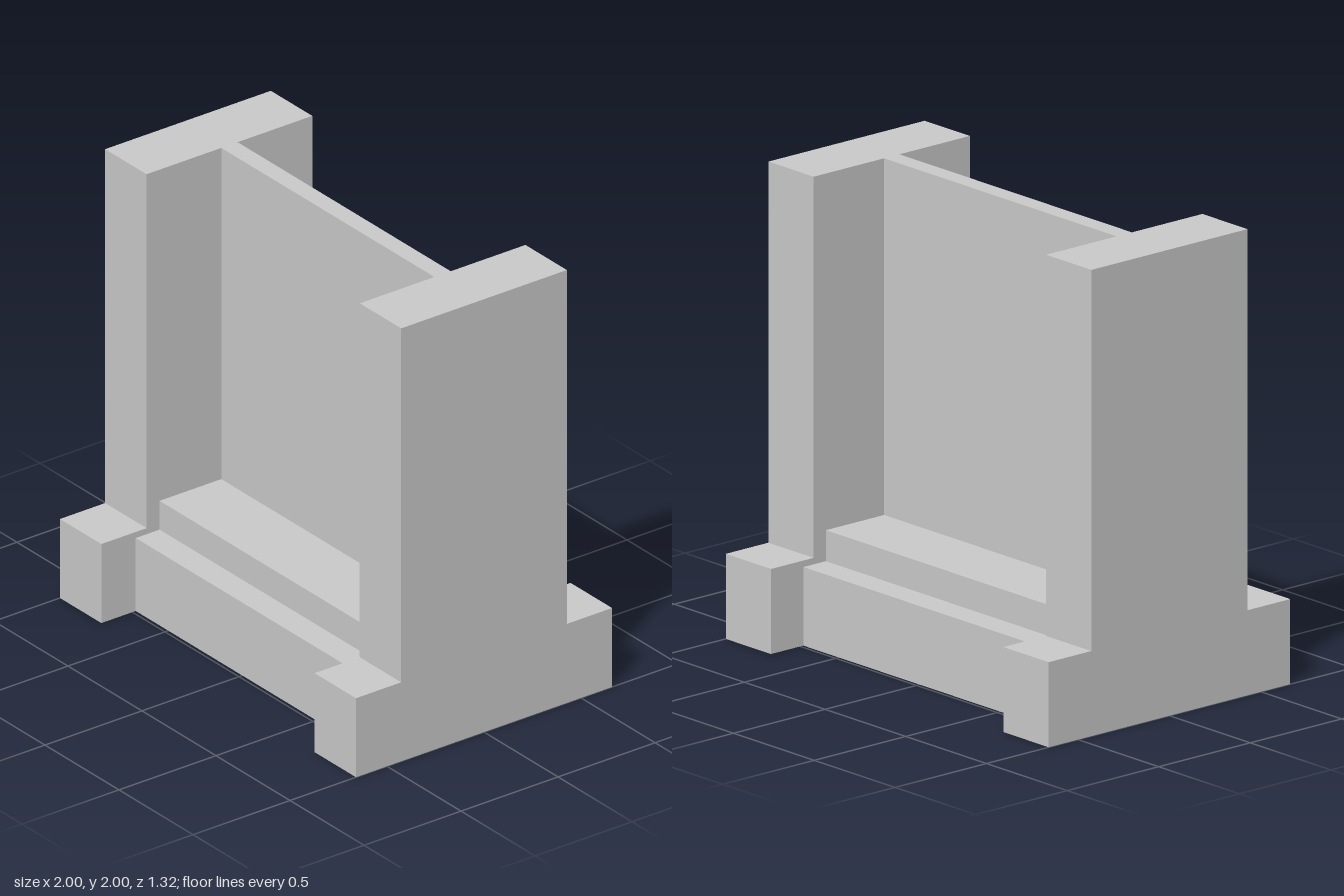
import * as THREE from 'three';

const material = new THREE.MeshStandardMaterial({ color: 0xcccccc, flatShading: true });

// Extrudes a front-to-back symmetric profile, given as [half depth, height] from the bottom up, along x.
function profileMesh(name, steps, x0, x1) {
  const right = steps.map(([z, y]) => new THREE.Vector2(z, y));
  const left = steps.map(([z, y]) => new THREE.Vector2(-z, y)).reverse();
  const geometry = new THREE.ExtrudeGeometry(new THREE.Shape([...right, ...left]), {
    depth: x1 - x0,
    bevelEnabled: false,
  });
  geometry.translate(0, 0, -(x1 - x0) / 2);
  geometry.rotateY(Math.PI / 2);
  geometry.translate((x0 + x1) / 2, 0, 0);
  const mesh = new THREE.Mesh(geometry, material);
  mesh.name = name;
  return mesh;
}

export function createModel() {
  const group = new THREE.Group();
  group.name = 'wallSection';
  const inner = 0.72;

  // End pillars, each on a deeper foot
  const pillar = [[0.66, 0], [0.66, 0.365], [0.427, 0.365], [0.427, 2]];
  group.add(profileMesh('leftPillar', pillar, inner, 1));
  group.add(profileMesh('rightPillar', pillar, -1, -inner));

  // Thin wall panel rising from a two-step plinth
  const wall = [[0.483, 0], [0.483, 0.337], [0.36, 0.337], [0.36, 0.47], [0.042, 0.47], [0.042, 2]];
  group.add(profileMesh('wallPanel', wall, -inner, inner));

  return group;
}
